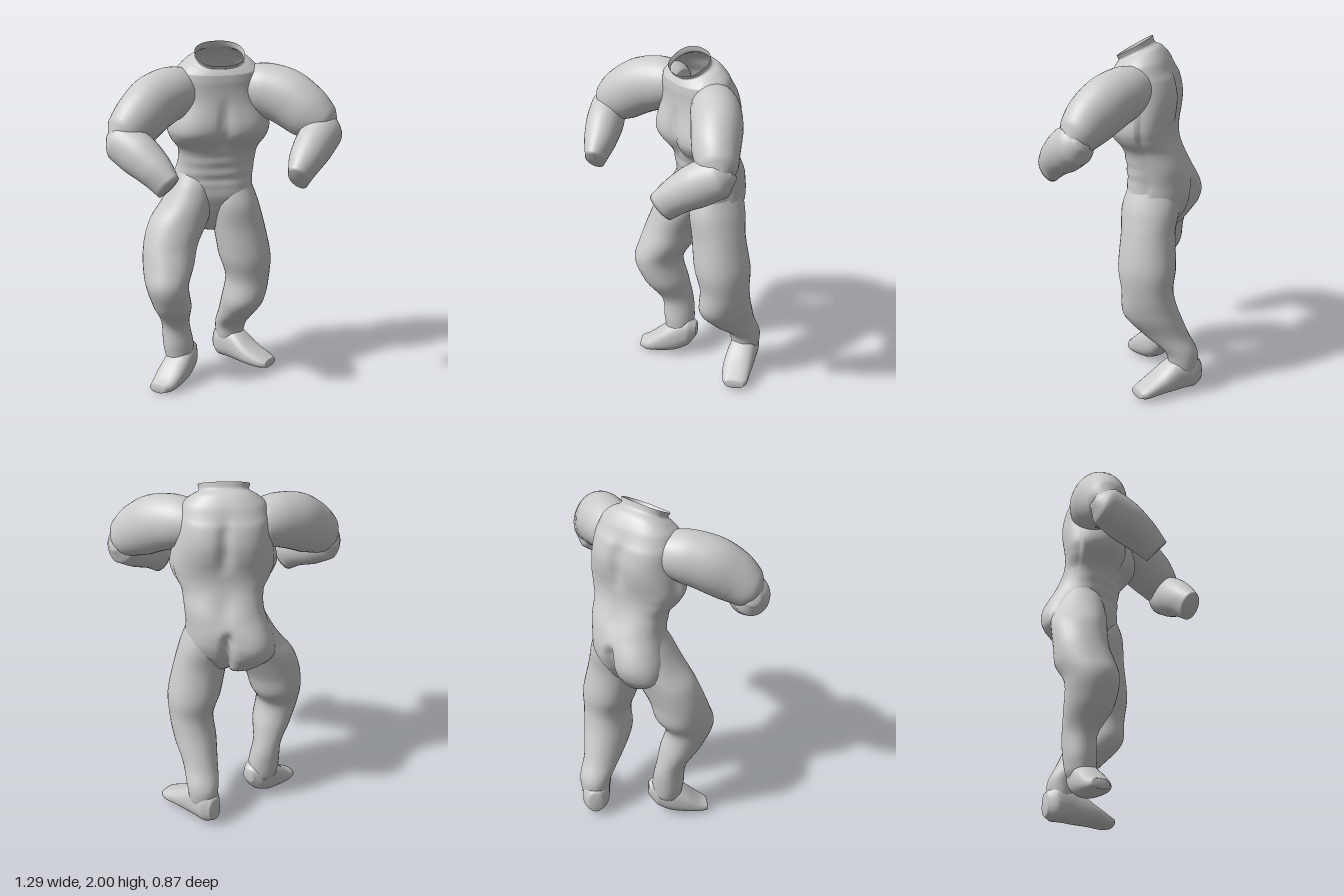
import * as THREE from 'three';

const material = new THREE.MeshStandardMaterial({ color: 0xcccccc, side: THREE.DoubleSide, roughness: 0.8 });
const V = (x, y, z) => new THREE.Vector3(x, y, z);
const UP = V(0, 1, 0), DOWN = V(0, -1, 0), FRONT = V(0, 0, 1);
const bell = (d, s) => Math.exp(-(d / s) * (d / s));
const ramp = THREE.MathUtils.smoothstep;

// Smooth skin through sections [x, y, z, half width, half depth].
// axis fixes the ring direction; without it the rings follow the path.
function loft(name, sections, { axis = null, hint = FRONT, power = 2, sides = 32, caps = [true, true], shape = null } = {}) {
  const path = new THREE.CatmullRomCurve3(sections.map(s => V(s[0], s[1], s[2])));
  const size = new THREE.CatmullRomCurve3(sections.map(s => V(s[3], s[4], 0)));
  const steps = (sections.length - 1) * 6;
  const pos = [], index = [];
  const bend = v => Math.sign(v) * Math.pow(Math.abs(v), 2 / power);
  for (let i = 0; i <= steps; i++) {
    const c = path.getPoint(i / steps), r = size.getPoint(i / steps);
    const t = axis ? axis.clone().normalize() : path.getTangent(i / steps);
    const u = hint.clone().cross(t).normalize(), v = t.clone().cross(u);
    for (let j = 0; j < sides; j++) {
      const a = j / sides * Math.PI * 2;
      const out = u.clone().multiplyScalar(bend(Math.cos(a)) * r.x)
        .addScaledVector(v, bend(Math.sin(a)) * r.y);
      const p = c.clone().add(out);
      if (shape) shape(p, out.normalize());
      pos.push(p.x, p.y, p.z);
    }
  }
  for (let i = 0; i < steps; i++) {
    for (let j = 0; j < sides; j++) {
      const k = (j + 1) % sides;
      const a = i * sides + j, b = i * sides + k, c = b + sides, d = a + sides;
      index.push(a, b, c, a, c, d);
    }
  }
  // Close the ends with fans
  [0, steps].forEach((ring, e) => {
    if (!caps[e]) return;
    const c = path.getPoint(e), n = pos.length / 3;
    pos.push(c.x, c.y, c.z);
    for (let j = 0; j < sides; j++) {
      const a = ring * sides + j, b = ring * sides + (j + 1) % sides;
      if (e) index.push(a, b, n); else index.push(b, a, n);
    }
  });
  const geo = new THREE.BufferGeometry();
  geo.setAttribute('position', new THREE.Float32BufferAttribute(pos, 3));
  geo.setIndex(index);
  geo.computeVertexNormals();
  const mesh = new THREE.Mesh(geo, material);
  mesh.name = name;
  return mesh;
}

// Muscle relief, hip twist and the sloping collar
function torsoShape(p, out) {
  const { x, y } = p;
  let d = 0;
  if (out.z > 0) {
    const chest = ramp(y, 1.4, 1.47) * (1 - ramp(y, 1.58, 1.75));
    const shelf = bell(y - 1.53, y < 1.53 ? 0.08 : 0.13);
    for (const cx of [-0.125, 0.15]) d += 0.052 * bell(x - cx, 0.13) * shelf;
    d -= 0.022 * bell(x - 0.02, 0.025) * chest * out.z;
    const belly = ramp(y, 1.17, 1.22) * (1 - ramp(y, 1.36, 1.42));
    d += 0.003 * Math.sin(y * 90) * belly * out.z;
  } else {
    const spine = ramp(y, 1.5, 1.65) * (1 - ramp(y, 1.75, 1.87));
    d -= 0.025 * bell(x - 0.01, 0.035) * spine;
    d -= 0.015 * bell(x - 0.01, 0.06) * bell(y - 1.35, 0.08);
    d -= 0.05 * bell(x, 0.025) * (1 - ramp(y, 1.15, 1.25));
    for (const cx of [-0.12, 0.12]) {
      d += 0.025 * bell(x - cx, 0.1) * bell(y - 1.12, 0.1);
      d += 0.012 * bell(x - cx, 0.09) * bell(y - 1.68, 0.14);
    }
  }
  p.addScaledVector(out, d);
  p.z += 0.2 * x * (1 - ramp(y, 1.1, 1.35));
  p.y -= 0.58 * ramp(y, 1.82, 1.95) * (p.z + 0.02);
}

function makeTorso() {
  // [y, centre x, half width, front z, back z]
  const rows = [
    [0.91, -0.015, 0.05, -0.12, -0.2], [0.95, -0.02, 0.13, -0.085, -0.26],
    [1.05, -0.03, 0.225, -0.035, -0.32], [1.14, -0.015, 0.232, -0.005, -0.34],
    [1.22, 0, 0.22, 0, -0.345], [1.3, 0.015, 0.215, 0.01, -0.325],
    [1.4, 0.02, 0.222, 0.025, -0.278], [1.47, 0.018, 0.255, 0.05, -0.255],
    [1.54, 0.015, 0.272, 0.062, -0.253], [1.62, 0.015, 0.265, 0.07, -0.262],
    [1.71, 0.015, 0.25, 0.075, -0.265], [1.8, 0.01, 0.24, 0.08, -0.248],
    [1.86, 0.01, 0.22, 0.078, -0.207], [1.895, 0.01, 0.172, 0.068, -0.162],
    [1.92, 0.01, 0.132, 0.06, -0.12], [1.95, 0.01, 0.138, 0.072, -0.11]
  ];
  const sections = rows.map(([y, x, w, f, b]) => [x, y, (f + b) / 2, w, (f - b) / 2]);
  return loft('torso', sections, { axis: UP, power: 2.35, sides: 96, caps: [true, false], shape: torsoShape });
}

function makeArm(side, name) {
  const arm = new THREE.Group();
  arm.name = name;
  const mirror = rows => rows.map(([x, y, z, a, b]) => [x * side, y, z, a, b]);
  arm.add(loft('upperArm', mirror([
    [0.14, 1.75, -0.075, 0.08, 0.09], [0.185, 1.75, -0.06, 0.12, 0.125],
    [0.265, 1.74, -0.02, 0.135, 0.148], [0.37, 1.705, 0.042, 0.137, 0.157],
    [0.465, 1.635, 0.11, 0.127, 0.148], [0.55, 1.57, 0.155, 0.103, 0.112],
    [0.605, 1.53, 0.19, 0.035, 0.035]
  ]), { hint: UP }));
  arm.add(loft('forearm', mirror([
    [0.61, 1.56, 0.1, 0.035, 0.04], [0.565, 1.535, 0.15, 0.1, 0.112],
    [0.49, 1.483, 0.222, 0.105, 0.12], [0.41, 1.41, 0.305, 0.09, 0.102],
    [0.35, 1.33, 0.375, 0.052, 0.084]
  ]), { hint: UP }));
  return arm;
}

function makeLeg(name, legRows, footRows, footAxis) {
  const leg = new THREE.Group();
  leg.name = name;
  leg.add(loft('thighAndCalf', legRows, { axis: DOWN, power: 2.15 }));
  leg.add(loft('foot', footRows, { axis: footAxis, hint: UP, power: 2.4 }));
  return leg;
}

export function createModel() {
  const model = new THREE.Group();
  model.name = 'headlessBody';
  model.add(makeTorso(), makeArm(1, 'leftArm'), makeArm(-1, 'rightArm'));

  // Left leg, bent back with the foot turned out
  model.add(makeLeg('leftLeg', [
    [0.08, 1.32, -0.15, 0.08, 0.08], [0.1, 1.2, -0.15, 0.112, 0.137],
    [0.118, 1.07, -0.137, 0.14, 0.16], [0.145, 0.94, -0.13, 0.147, 0.15],
    [0.18, 0.76, -0.133, 0.15, 0.16], [0.2, 0.61, -0.14, 0.125, 0.145],
    [0.18, 0.47, -0.16, 0.12, 0.16], [0.155, 0.35, -0.235, 0.1, 0.13],
    [0.142, 0.24, -0.325, 0.09, 0.09], [0.14, 0.16, -0.335, 0.08, 0.08],
    [0.14, 0.09, -0.335, 0.05, 0.05]
  ], [
    [0.075, 0.11, -0.41, 0.04, 0.065], [0.11, 0.12, -0.365, 0.078, 0.1],
    [0.175, 0.115, -0.29, 0.082, 0.096], [0.25, 0.075, -0.2, 0.084, 0.058],
    [0.315, 0.05, -0.14, 0.073, 0.036], [0.34, 0.045, -0.115, 0.055, 0.024]
  ], V(0.7, 0, 0.75)));

  // Right leg, knee forward and heel raised
  model.add(makeLeg('rightLeg', [
    [-0.09, 1.32, -0.15, 0.09, 0.08], [-0.12, 1.2, -0.15, 0.115, 0.137],
    [-0.155, 1.09, -0.14, 0.142, 0.157], [-0.21, 0.98, -0.115, 0.167, 0.152],
    [-0.26, 0.86, -0.085, 0.155, 0.152], [-0.28, 0.75, -0.055, 0.145, 0.165],
    [-0.298, 0.64, -0.01, 0.122, 0.15], [-0.265, 0.5, -0.04, 0.11, 0.135],
    [-0.235, 0.36, -0.1, 0.08, 0.095], [-0.22, 0.24, -0.102, 0.088, 0.09],
    [-0.215, 0.16, -0.1, 0.08, 0.08], [-0.215, 0.1, -0.095, 0.05, 0.05]
  ], [
    [-0.125, 0.17, -0.165, 0.035, 0.04], [-0.16, 0.15, -0.13, 0.07, 0.09],
    [-0.21, 0.122, -0.08, 0.083, 0.1], [-0.28, 0.078, -0.01, 0.085, 0.073],
    [-0.34, 0.042, 0.045, 0.072, 0.04], [-0.378, 0.033, 0.07, 0.05, 0.026]
  ], V(-0.7, 0, 0.7)));
  return model;
}
